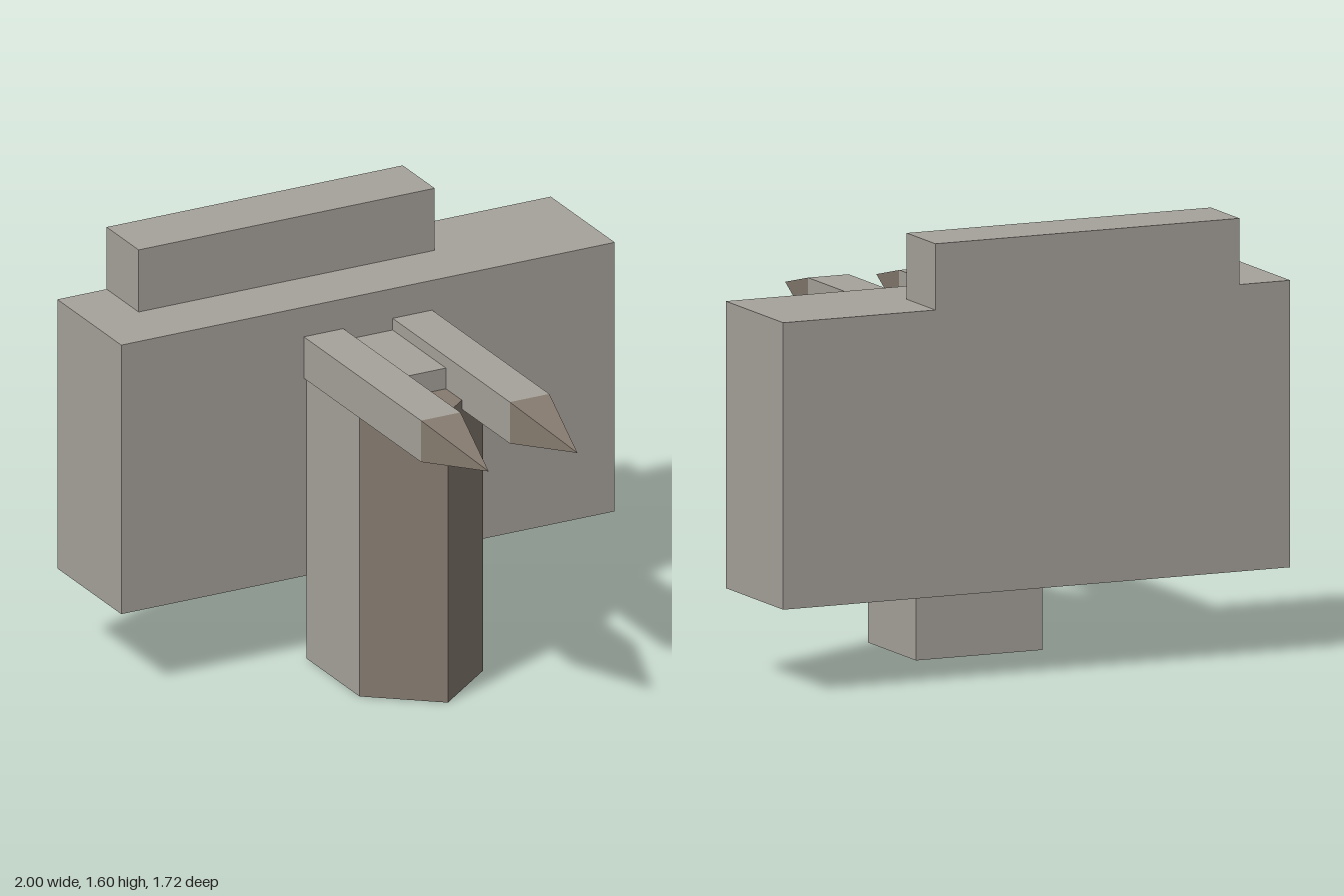
import * as THREE from 'three';

const stone = new THREE.MeshStandardMaterial({ name: 'warm grey', color: 0xa6a29b, flatShading: true });
const brown = new THREE.MeshStandardMaterial({ name: 'dull brown', color: 0x857a6f, flatShading: true });

export function createModel() {
  const model = new THREE.Group();
  model.name = 'model';

  const add = (name, geometry, material) => {
    const mesh = new THREE.Mesh(geometry, material);
    mesh.name = name;
    model.add(mesh);
    return mesh;
  };

  // Box given by its extents on each axis
  const block = (name, [x0, x1], [y0, y1], [z0, z1]) =>
    add(name, new THREE.BoxGeometry(x1 - x0, y1 - y0, z1 - z0), stone)
      .position.set((x0 + x1) / 2, (y0 + y1) / 2, (z0 + z1) / 2);

  // Main body with an off-centre raised block along its back edge
  block('body', [-1, 1], [0.32, 1.36], [-0.86, -0.38]);
  block('topBlock', [-0.8, 0.4], [1.36, 1.6], [-0.86, -0.62]);

  // Column with a low ridge on top
  block('column', [-0.25, 0.25], [0, 1.12], [-0.38, 0.02]);
  block('ridge', [-0.1, 0.1], [1.12, 1.2], [-0.38, 0.02]);

  // Triangular prow on the front of the column
  const triangle = new THREE.Shape([
    new THREE.Vector2(-0.25, 0.02),
    new THREE.Vector2(0.25, 0.02),
    new THREE.Vector2(0, 0.22),
  ]);
  const prow = new THREE.ExtrudeGeometry(triangle, { depth: 1.12, bevelEnabled: false });
  prow.rotateX(Math.PI / 2).translate(0, 1.12, 0);
  add('columnProw', prow, brown);

  // Pair of square prongs with pyramid tips
  for (const [side, s] of [['left', 1], ['right', -1]]) {
    const x = 0.18 * s;
    block(side + 'Prong', [x - 0.08, x + 0.08], [1.085, 1.245], [-0.38, 0.5]);
    const tip = new THREE.ConeGeometry(0.08 * Math.SQRT2, 0.36, 4);
    tip.rotateY(Math.PI / 4).rotateX(Math.PI / 2);
    add(side + 'ProngTip', tip, brown).position.set(x, 1.165, 0.68);
  }

  return model;
}
